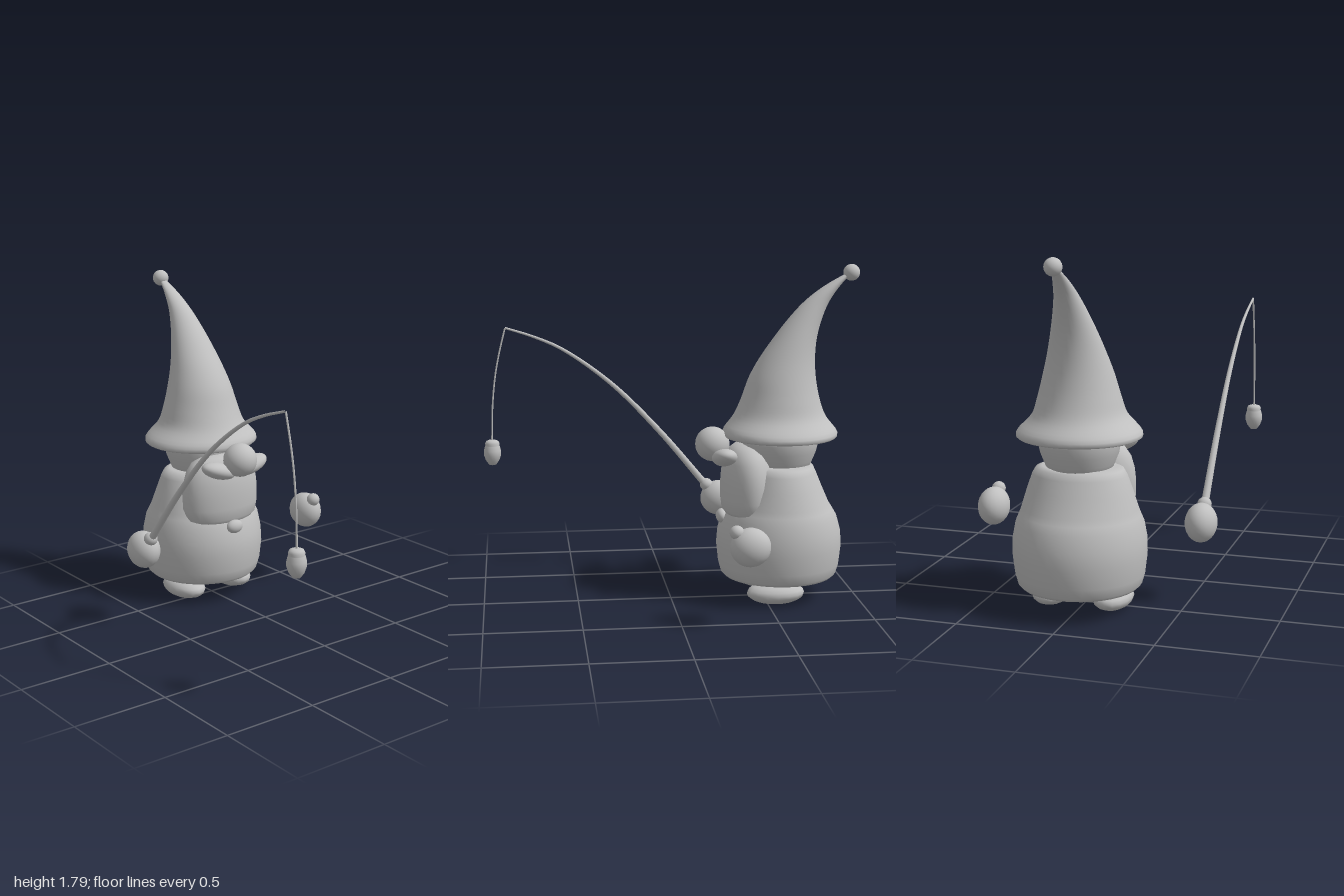
import * as THREE from 'three';

const grey = new THREE.MeshStandardMaterial({ color: 0xc0c0c0 });
grey.name = 'plain grey';

const CX = -0.585; // axis of the standing figure, which faces +x

export function createModel() {
  const model = new THREE.Group();
  model.name = 'fishingGnome';

  const add = (name, geometry, x = 0, y = 0, z = 0) => {
    const mesh = new THREE.Mesh(geometry, grey);
    mesh.name = name;
    mesh.position.set(x, y, z);
    model.add(mesh);
    return mesh;
  };
  const ball = (name, x, y, z, rx, ry = rx, rz = rx, w = 24, h = 16) => {
    const mesh = add(name, new THREE.SphereGeometry(1, w, h), x, y, z);
    mesh.scale.set(rx, ry, rz);
    return mesh;
  };
  const lathe = (name, profile, x, z, segments = 32) =>
    add(name, new THREE.LatheGeometry(profile.map(p => new THREE.Vector2(...p)), segments), x, 0, z);

  // Stack of elliptical rings [y, centre x, radius x, radius z], listed upwards
  const loft = (name, rings, segments = 36) => {
    const pos = [], index = [], row = segments + 1;
    rings.forEach(([y, cx, rx, rz], j) => {
      for (let i = 0; i <= segments; i++) {
        const a = (i % segments) / segments * Math.PI * 2;
        pos.push(cx + rx * Math.cos(a), y, rz * Math.sin(a));
        if (j && i) {
          const d = j * row + i, b = d - row;
          index.push(b - 1, d - 1, d, b - 1, d, b);
        }
      }
    });
    const g = new THREE.BufferGeometry();
    g.setAttribute('position', new THREE.Float32BufferAttribute(pos, 3));
    g.setIndex(index);
    g.computeVertexNormals();
    // Share one normal across the seam
    const n = g.attributes.normal;
    rings.forEach((_, j) => {
      const a = j * row, b = a + segments;
      const v = new THREE.Vector3().fromBufferAttribute(n, a)
        .add(new THREE.Vector3().fromBufferAttribute(n, b)).normalize();
      n.setXYZ(a, v.x, v.y, v.z);
      n.setXYZ(b, v.x, v.y, v.z);
    });
    return add(name, g);
  };

  // Coat: narrower front to back at the shoulders
  loft('coat', [
    [0.13, CX, 0, 0], [0.13, CX, 0.27, 0.27], [0.133, CX, 0.295, 0.295],
    [0.15, CX, 0.312, 0.312], [0.2, CX, 0.326, 0.326], [0.3, CX, 0.337, 0.338],
    [0.38, CX, 0.33, 0.336], [0.46, CX, 0.308, 0.322], [0.5, CX, 0.285, 0.305],
    [0.53, CX, 0.265, 0.295], [0.62, CX, 0.225, 0.268], [0.7, CX, 0.192, 0.24],
    [0.73, CX, 0.178, 0.222], [0.742, CX, 0.155, 0.19], [0.745, CX, 0, 0],
  ]);

  // Head
  lathe('head', [
    [0, 0.68], [0.15, 0.7], [0.175, 0.76], [0.195, 0.81], [0.205, 0.86], [0.205, 0.92], [0, 0.93],
  ], CX, 0);

  // Beard
  const beard = lathe('beard', [
    [0, 0.46], [0.19, 0.47], [0.222, 0.5], [0.235, 0.56], [0.235, 0.64], [0.228, 0.7],
    [0.21, 0.76], [0.175, 0.81], [0.12, 0.84], [0.06, 0.85], [0, 0.852],
  ], -0.41, 0);
  beard.scale.x = 0.6;

  // Bent hat: smooth interpolation between a few key rings
  const keys = [
    [0.93, -0.583, 0.298, 0.3], [1.0, -0.581, 0.245, 0.235], [1.09, -0.585, 0.208, 0.205],
    [1.2, -0.594, 0.178, 0.175], [1.3, -0.618, 0.148, 0.146], [1.4, -0.656, 0.117, 0.118],
    [1.5, -0.706, 0.091, 0.089], [1.6, -0.772, 0.066, 0.06], [1.68, -0.852, 0.042, 0.038],
    [1.75, -0.945, 0.012, 0.015],
  ];
  const shape = new THREE.CatmullRomCurve3(keys.map(([y, cx, rx]) => new THREE.Vector3(cx, y, rx)));
  const depth = new THREE.CatmullRomCurve3(keys.map(([y, , , rz]) => new THREE.Vector3(0, y, rz)));
  const hatRings = [
    [0.905, CX, 0, 0], [0.9, CX, 0.2, 0.2], [0.888, CX, 0.27, 0.275], [0.887, CX, 0.296, 0.304],
    [0.895, CX, 0.305, 0.314], [0.912, CX, 0.305, 0.313],
  ];
  for (let i = 0; i <= 36; i++) {
    const s = shape.getPoint(i / 36), d = depth.getPoint(i / 36);
    hatRings.push([s.y, s.x, s.z, d.z]);
  }
  loft('hat', hatRings);
  ball('hatBobble', -0.957, 1.752, 0, 0.044);

  // Face and button
  ball('nose', -0.222, 0.85, 0, 0.092);
  ball('button', -0.275, 0.457, 0, 0.032, 0.038, 0.05);

  // Paired parts
  for (const side of [1, -1]) {
    const moustache = ball('moustache', -0.272, 0.795, side * 0.107, 0.066, 0.045, 0.108);
    moustache.rotation.x = -side * 0.3;
    ball('foot', -0.543, 0.068, side * 0.16, 0.155, 0.06, 0.1, 16, 10);
    ball('hand', -0.338, 0.427, side * 0.558, 0.104, 0.1, 0.082, 20, 14);
    ball('thumb', -0.268, 0.505, side * 0.558, 0.037, 0.036, 0.037, 16, 12);
  }

  // Tapered tube along a curve
  const taperedTube = (name, points, r0, r1) => {
    const curve = new THREE.CatmullRomCurve3(points.map(p => new THREE.Vector3(p[0], p[1], 0.558)));
    const segs = 28, radial = 10;
    const g = new THREE.TubeGeometry(curve, segs, r0, radial);
    const p = g.attributes.position, v = new THREE.Vector3();
    for (let i = 0; i < p.count; i++) {
      const t = Math.floor(i / (radial + 1)) / segs;
      const c = curve.getPointAt(t);
      v.fromBufferAttribute(p, i).sub(c).multiplyScalar(1 + (r1 / r0 - 1) * t).add(c);
      p.setXYZ(i, v.x, v.y, v.z);
    }
    return add(name, g);
  };
  taperedTube('fishingRod', [
    [-0.31, 0.45], [-0.255, 0.515], [0.0, 0.82], [0.275, 1.1], [0.543, 1.295], [0.7, 1.367], [0.862, 1.42],
  ], 0.021, 0.006);
  taperedTube('fishingLine', [
    [0.862, 1.42], [0.897, 1.28], [0.922, 1.15], [0.94, 0.98], [0.947, 0.78],
  ], 0.005, 0.005);

  // Float hanging from the line
  lathe('float', [
    [0, 0.645], [0.02, 0.65], [0.038, 0.675], [0.048, 0.705], [0.048, 0.73], [0.041, 0.757],
    [0.039, 0.76], [0.04, 0.772], [0.034, 0.784], [0.02, 0.79], [0, 0.791],
  ], 0.946, 0.558, 20);

  return model;
}
